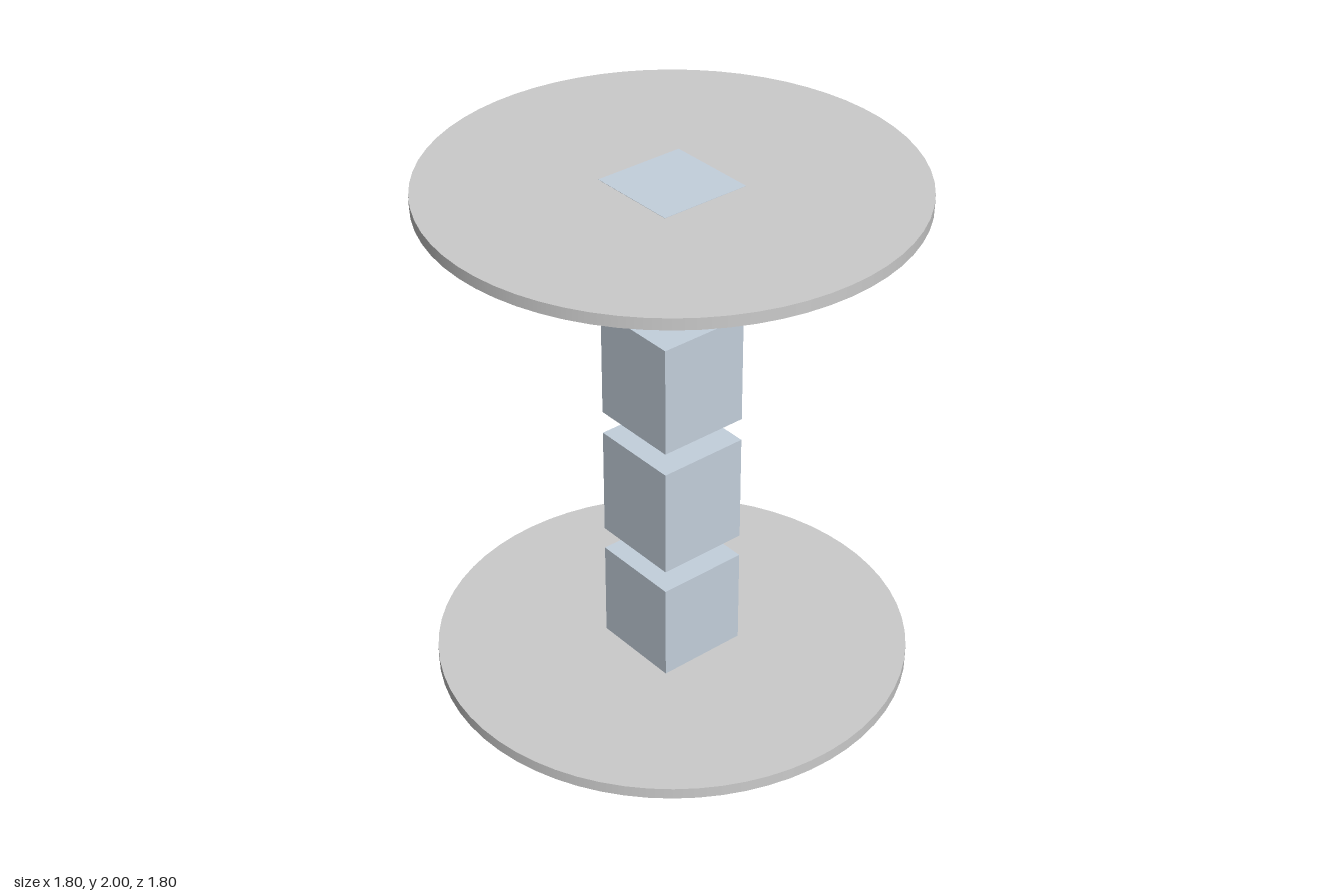
import * as THREE from 'three';

export function createModel() {
  const group = new THREE.Group();
  const grey = new THREE.MeshStandardMaterial({ color: 0xcccccc });
  const blue = new THREE.MeshStandardMaterial({ color: 0xc4d0dc });

  const add = (name, geometry, material, y) => {
    const mesh = new THREE.Mesh(geometry, material);
    mesh.name = name;
    mesh.position.y = y;
    group.add(mesh);
  };

  // Round base and top, set just inside the ends of the column
  const plateHeight = 0.044;
  const plate = new THREE.CylinderGeometry(0.9, 0.9, plateHeight, 64);
  add('basePlate', plate, grey, 0.001 + plateHeight / 2);
  add('topPlate', plate, grey, 1.999 - plateHeight / 2);

  // Square core running through the column
  add('corePost', new THREE.BoxGeometry(0.09, 1.99, 0.09), grey, 1);

  // Evenly spaced blocks, the first and last reaching through the plates
  const count = 4;
  const blockHeight = 0.432;
  const block = new THREE.BoxGeometry(0.36, blockHeight, 0.36);
  const pitch = (2 - blockHeight) / (count - 1);
  for (let i = 0; i < count; i++) {
    add(`columnBlock${i + 1}`, block, blue, blockHeight / 2 + i * pitch);
  }

  return group;
}
